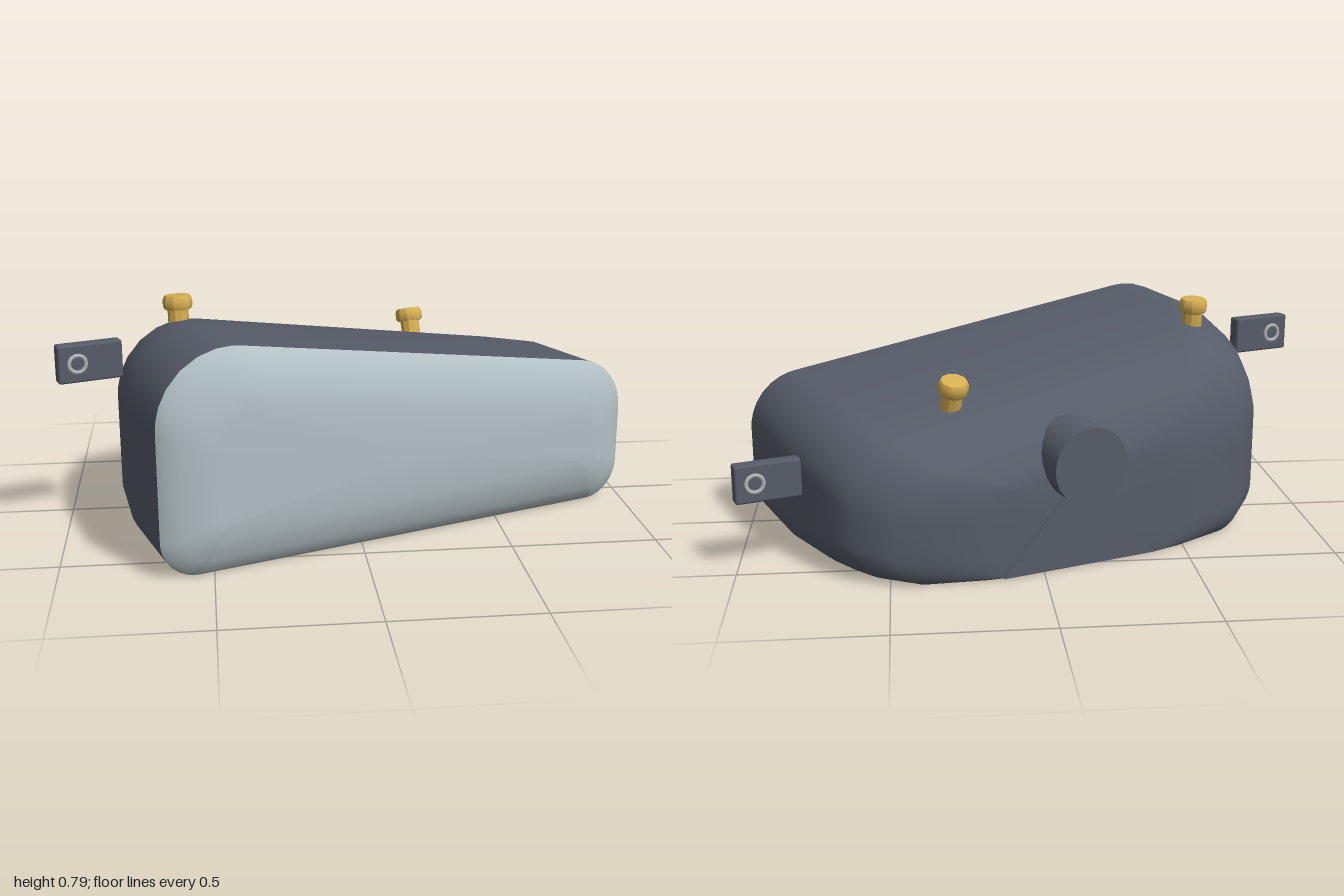
import * as THREE from 'three';
import { RoundedBoxGeometry } from 'three/addons/geometries/RoundedBoxGeometry.js';
import { toCreasedNormals } from 'three/addons/utils/BufferGeometryUtils.js';

const mat = (name, color) => Object.assign(new THREE.MeshStandardMaterial({ color }), { name });
const CX = 0.032; // middle of the housing's width
const STEPS = 8; // segments per rounded corner

// Four-cornered outline with a sloping top, counter-clockwise seen from the front
function outline(z, hw, bottom, topRight, topLeft, radii) {
  const p = [[CX - hw, bottom], [CX + hw, bottom], [CX + hw, topLeft], [CX - hw, topRight]]
    .map(([x, y]) => new THREE.Vector2(x, y));
  const points = [];
  p.forEach((corner, i) => {
    const a = p[(i + 3) % 4].clone().sub(corner).normalize();
    const b = p[(i + 1) % 4].clone().sub(corner).normalize();
    const half = Math.acos(a.dot(b)) / 2;
    const r = radii[i], d = r / Math.tan(half);
    const centre = corner.clone().addScaledVector(a.clone().add(b).normalize(), r / Math.sin(half));
    const from = corner.clone().addScaledVector(a, d).sub(centre);
    const to = corner.clone().addScaledVector(b, d).sub(centre);
    for (let k = 0; k <= STEPS; k++) {
      const q = from.clone().lerp(to, k / STEPS).setLength(r).add(centre);
      points.push(new THREE.Vector3(q.x, q.y, z));
    }
  });
  return points;
}

// Skin over rings ordered from front to back, with optional domed end points
function loft(rings, frontZ, backZ) {
  const n = rings[0].length, pos = [], idx = [];
  rings.forEach(r => r.forEach(v => pos.push(v.x, v.y, v.z)));
  for (let i = 0; i < rings.length - 1; i++) {
    for (let j = 0; j < n; j++) {
      const a = i * n + j, b = i * n + (j + 1) % n, c = a + n, d = b + n;
      idx.push(a, c, b, b, c, d);
    }
  }
  const cap = (ring, start, z, front) => {
    const c = ring.reduce((s, v) => s.add(v), new THREE.Vector3()).divideScalar(n);
    const m = pos.length / 3;
    pos.push(c.x, c.y, z);
    for (let j = 0; j < n; j++) {
      const a = start + j, b = start + (j + 1) % n;
      idx.push(m, front ? a : b, front ? b : a);
    }
  };
  if (frontZ !== undefined) cap(rings[0], 0, frontZ, true);
  if (backZ !== undefined) cap(rings[rings.length - 1], (rings.length - 1) * n, backZ, false);
  const g = new THREE.BufferGeometry();
  g.setAttribute('position', new THREE.Float32BufferAttribute(pos, 3));
  g.setIndex(idx);
  g.computeVertexNormals();
  return g;
}

export function createModel() {
  const housingMat = mat('dark slate housing', 0x565c69);
  const lensMat = mat('pale grey lens', 0xb2c0c4);
  const brassMat = mat('brass', 0xd6ae52);
  const ringMat = mat('light grey metal', 0xb4b8bc);

  const model = new THREE.Group();
  model.name = 'lamp';
  const lamp = new THREE.Group();
  lamp.name = 'turnedLamp';
  lamp.rotation.y = 0.347;
  model.add(lamp);
  const add = (name, geo, material, parent = lamp) => {
    const m = new THREE.Mesh(geo, material);
    m.name = name;
    parent.add(m);
    return m;
  };

  // Housing: z, half width, top height at each end, corner radius factor
  const stations = [
    [0.384, 0.882, 0.79, 0.508, 1],
    [0.045, 0.872, 0.78, 0.5, 1],
    [-0.2, 0.825, 0.745, 0.465, 1],
    [-0.3, 0.79, 0.71, 0.44, 1],
    [-0.37, 0.755, 0.675, 0.415, 0.98],
    [-0.47, 0.645, 0.58, 0.355, 0.85],
    [-0.522, 0.43, 0.44, 0.31, 0.65],
    [-0.536, 0.32, 0.36, 0.28, 0.5],
  ];
  add('housing', loft(stations.map(([z, hw, tr, tl, f]) =>
    outline(z, hw, 0.002, tr, tl, [0.13, 0.13, 0.2, 0.25].map(r => r * f))), undefined, -0.538), housingMat);

  // Lens: same outline, shrinking as it bulges forward
  const bulge = [[0.18, 0.457], [0.12, 0.447], [0.06, 0.428], [0.02, 0.405], [0, 0.384]];
  add('lens', loft(bulge.map(([d, z]) =>
    outline(z, 0.882 - d, 0.002 + d, 0.79 - d * 1.15, 0.508 - d * 0.87,
      [0.13, 0.13, 0.2, 0.25].map(r => Math.max(r - d * 0.6, 0.03)))), 0.462), lensMat);

  // Rear cable socket with its flat gusset
  const socket = new THREE.CylinderGeometry(0.13, 0.13, 0.21, 24);
  socket.rotateX(Math.PI / 2);
  add('rearSocket', toCreasedNormals(socket, 0.6), housingMat).position.set(0.06, 0.365, -0.503);
  const tri = new THREE.Shape([[-0.22, 0.005], [0.34, 0.005], [0.06, 0.33]].map(([x, y]) => new THREE.Vector2(x, y)));
  add('rearGusset', new THREE.ExtrudeGeometry(tri, { depth: 0.02, bevelEnabled: false }), housingMat)
    .position.z = -0.544;

  // Brass adjuster knobs on top
  const profile = [[0, -0.03], [0.036, -0.03], [0.036, 0.035], [0.046, 0.035], [0.051, 0.045],
    [0.051, 0.07], [0.044, 0.083], [0, 0.085]].map(([x, y]) => new THREE.Vector2(x, y));
  const knobGeo = toCreasedNormals(new THREE.LatheGeometry(profile, 10), 0.5);
  [[-0.567, 0.705, -0.185, -0.08], [0.405, 0.537, -0.272, -0.32]].forEach(([x, y, z, tilt], i) => {
    const k = add(i ? 'leftAdjusterKnob' : 'rightAdjusterKnob', knobGeo, brassMat);
    k.position.set(x, y, z);
    k.rotation.x = tilt;
  });

  // Mounting tabs with an eyelet ring on both faces
  const tabGeo = new RoundedBoxGeometry(0.22, 0.13, 0.05, 2, 0.008);
  const ringGeo = new THREE.TorusGeometry(0.029, 0.007, 6, 14);
  [[-0.912, 0.615, -0.107, -1], [0.99, 0.307, -0.117, 1]].forEach(([x, y, z, side]) => {
    const tab = new THREE.Group();
    tab.name = side < 0 ? 'rightMountingTab' : 'leftMountingTab';
    tab.position.set(x, y, z);
    lamp.add(tab);
    add('tabPlate', tabGeo, housingMat, tab);
    for (const s of [-1, 1]) add('eyeletRing', ringGeo, ringMat, tab).position.set(side * 0.045, 0, s * 0.025);
  });

  return model;
}
